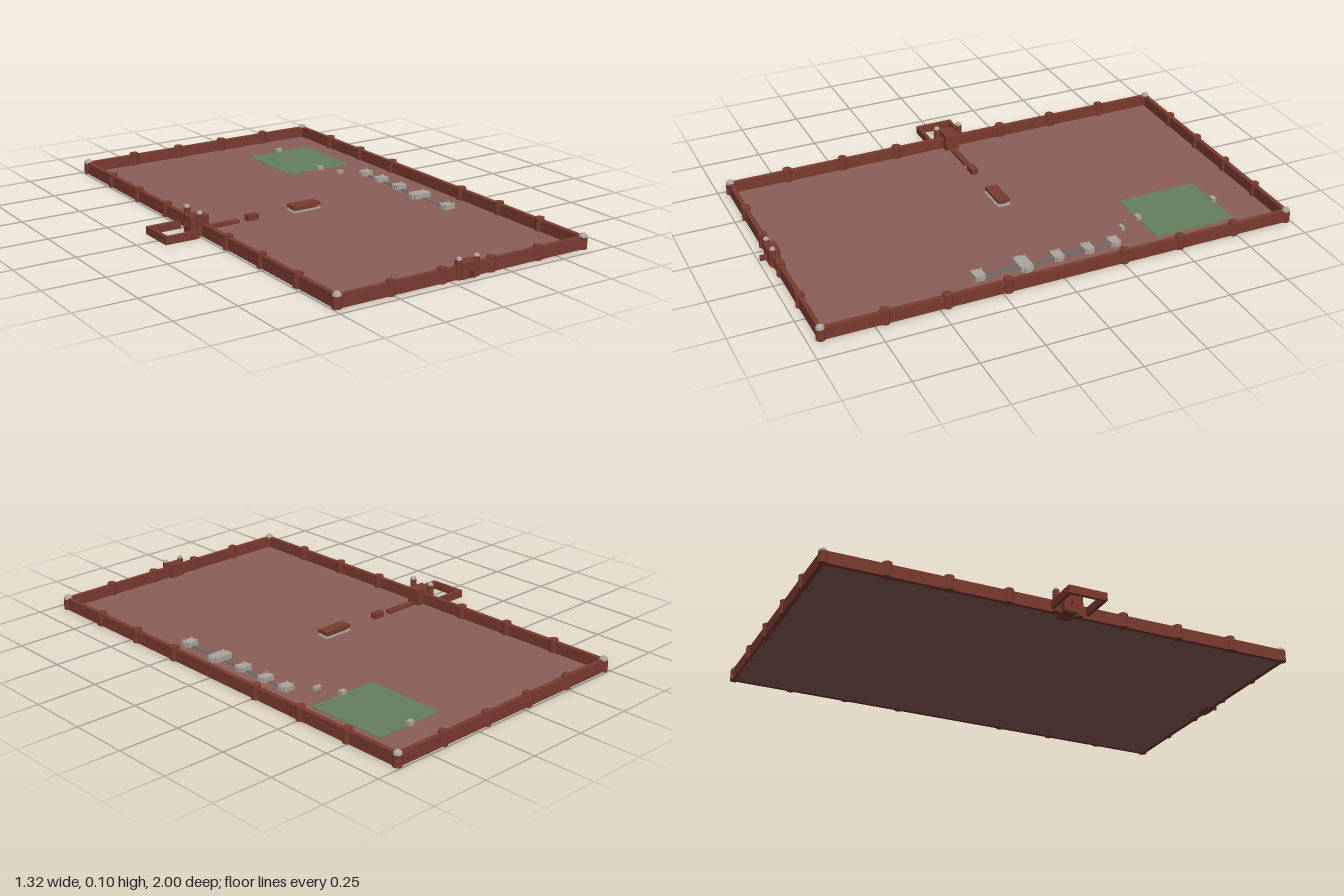
import * as THREE from 'three';

const mat = (color) => new THREE.MeshStandardMaterial({ color, flatShading: true });
const brick = mat(0x7b3b30);
const earth = mat(0x8a5f57);
const grass = mat(0x66805f);
const water = mat(0x56707a);
const stone = mat(0xaaa59c);

const WEST = -0.48, EAST = 0.64, NORTH = -0.98, SOUTH = 0.95;
const MID_X = (WEST + EAST) / 2, MID_Z = (NORTH + SOUTH) / 2;

export function createModel() {
  const root = new THREE.Group();
  root.name = 'walledCompound';

  const add = (name, geo, material, x, y, z, parent = root) => {
    const m = new THREE.Mesh(geo, material);
    m.name = name;
    m.position.set(x, y, z);
    parent.add(m);
    return m;
  };
  // Box given by its centre in plan, its size and its bottom height
  const box = (name, material, x, z, w, d, h, y = 0, parent = root) =>
    add(name, new THREE.BoxGeometry(w, h, d), material, x, y + h / 2, z, parent);

  const tower = (name, x, z, r, h, domed) => {
    const g = new THREE.Group();
    g.name = name;
    g.position.set(x, 0, z);
    root.add(g);
    add('shaft', new THREE.CylinderGeometry(r, r, h, 12), brick, 0, h / 2, 0, g);
    if (domed) {
      add('dome', new THREE.SphereGeometry(r * 0.95, 12, 6, 0, Math.PI * 2, 0, Math.PI / 2),
        stone, 0, h, 0, g);
    }
  };

  // Ground and lawn
  box('ground', earth, MID_X, MID_Z, EAST - WEST, SOUTH - NORTH, 0.004);
  box('lawn', grass, 0.392, -0.628, 0.306, 0.345, 0.003, 0.003);

  // Perimeter walls
  for (const x of [WEST, EAST]) box('sideWall', brick, x, MID_Z, 0.018, SOUTH - NORTH, 0.05);
  for (const z of [NORTH, SOUTH]) box('endWall', brick, MID_X, z, EAST - WEST, 0.018, 0.05);

  // Corner towers and wall bastions
  for (const x of [WEST, EAST]) {
    for (const z of [NORTH, SOUTH]) tower('cornerTower', x, z, 0.018, 0.046, true);
    for (let i = 1; i < 8; i++) {
      if (i !== 4) tower('bastion', x, NORTH + (SOUTH - NORTH) * i / 8, 0.019, 0.058, false);
    }
  }
  for (const z of [NORTH, SOUTH]) {
    for (let i = 1; i < 5; i++) {
      tower('bastion', WEST + (EAST - WEST) * i / 5, z, 0.018, 0.058, false);
    }
  }

  // Front gate with twin towers and a thin door leaf
  box('frontGate', brick, 0.08, 0.948, 0.07, 0.045, 0.063);
  for (const s of [-1, 1]) tower('frontGateTower', 0.08 + s * 0.04, 0.957, 0.012, 0.074, true);
  box('frontGateDoor', brick, 0.08, 0.98, 0.004, 0.036, 0.025, 0.01);

  // Side gate, its towers, door leaf and walled forecourt
  box('sideGate', brick, -0.48, -0.016, 0.08, 0.058, 0.071);
  for (const s of [-1, 1]) tower('sideGateTower', -0.492, -0.016 + s * 0.05, 0.013, 0.09, true);
  box('sideGateDoor', brick, -0.526, -0.016, 0.02, 0.004, 0.012, 0.032);
  box('forecourtOuterWall', brick, -0.65, -0.017, 0.014, 0.16, 0.032);
  for (const z of [-0.09, 0.056]) box('forecourtSideWall', brick, -0.583, z, 0.145, 0.014, 0.032);

  // Covered passage, small lodge and central hall
  box('passage', brick, -0.36, -0.016, 0.14, 0.025, 0.014, 0.003);
  box('lodge', brick, -0.228, -0.016, 0.05, 0.028, 0.024, 0.003);
  box('hallBase', stone, 0.018, -0.016, 0.13, 0.055, 0.007, 0.003);
  box('hallBody', brick, 0.018, -0.016, 0.11, 0.038, 0.014, 0.01);
  box('hallRoof', brick, 0.018, -0.016, 0.128, 0.053, 0.012, 0.02);

  // Water channel with pavilions along it
  box('waterChannel', water, 0.515, 0.005, 0.009, 0.57, 0.004, 0.003);
  const pavilions = [[-0.28, 0.056, 0.042], [-0.166, 0.06, 0.04], [-0.036, 0.06, 0.042],
    [0.105, 0.098, 0.052], [0.29, 0.06, 0.042]];
  for (const [z, w, d] of pavilions) {
    const g = new THREE.Group();
    g.name = 'pavilion';
    g.position.set(0.515, 0.003, z);
    root.add(g);
    box('hall', stone, 0, 0, w * 0.8, d, 0.02, 0, g);
    box('porch', stone, 0, 0, w, d * 0.55, 0.018, 0, g);
    for (const sx of [-1, 1]) {
      for (const sz of [-1, 1]) {
        add('kiosk', new THREE.CylinderGeometry(0.004, 0.004, 0.024, 8), stone,
          sx * w * 0.36, 0.012, sz * d * 0.42, g);
      }
    }
  }

  // Small kiosks near the lawn
  box('lawnKiosk', stone, 0.392, -0.8, 0.025, 0.02, 0.018, 0.003);
  box('lawnKiosk', stone, 0.392, -0.455, 0.025, 0.02, 0.018, 0.003);
  box('gardenKiosk', stone, 0.433, -0.36, 0.03, 0.014, 0.016, 0.003);

  return root;
}
